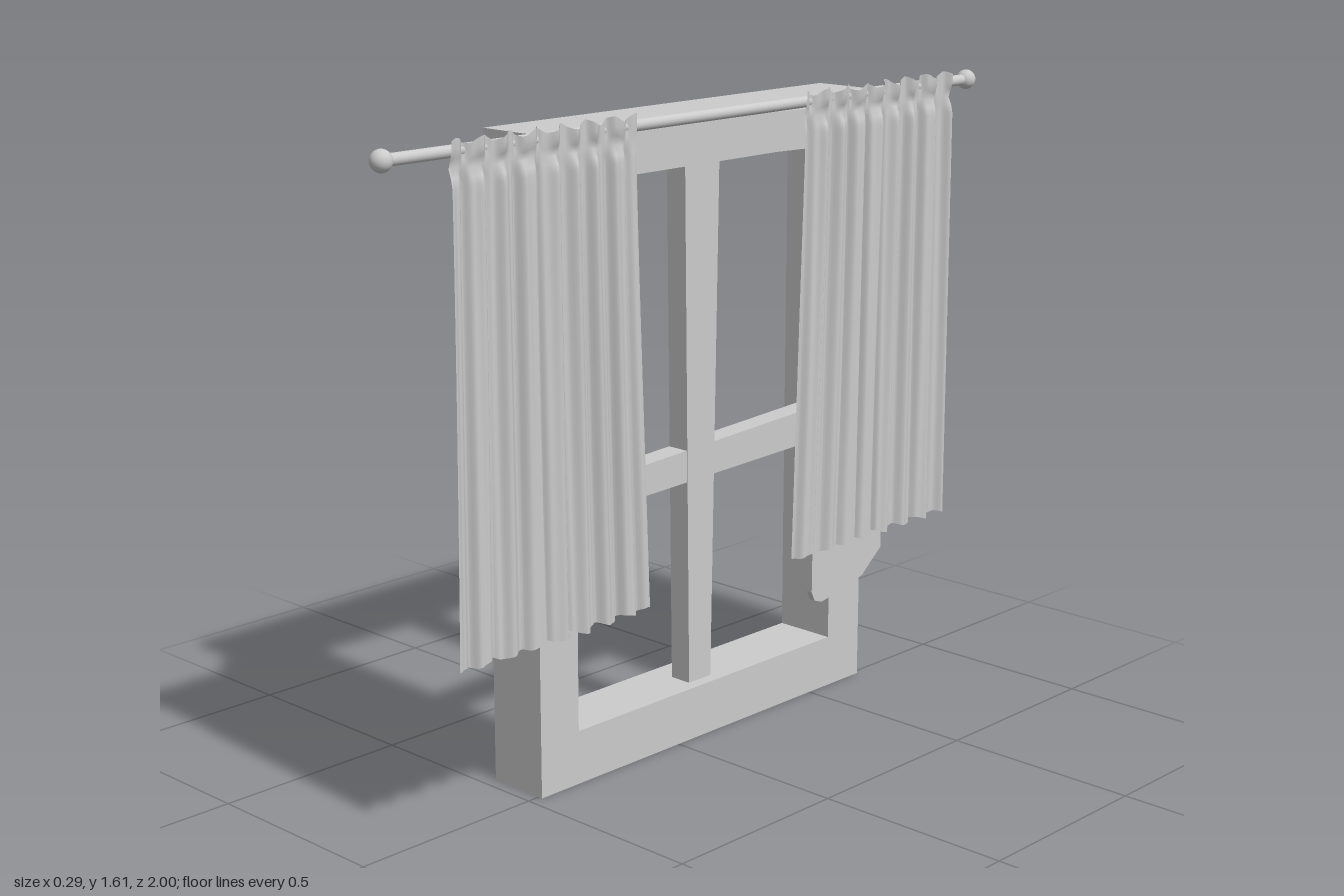
import * as THREE from 'three';
import { ParametricGeometry } from 'three/addons/geometries/ParametricGeometry.js';

const material = new THREE.MeshStandardMaterial({ color: 0xcccccc });
const cloth = new THREE.MeshStandardMaterial({ color: 0xcccccc, side: THREE.DoubleSide });

function add(group, name, geometry, mat = material) {
  const mesh = new THREE.Mesh(geometry, mat);
  mesh.name = name;
  group.add(mesh);
  return mesh;
}

const outline = (pts) => pts.map(([s, y]) => new THREE.Vector2(s, y));

// Flat outline in (s = -z, y), extruded from x0 to x1
function slab(pts, x0, x1, hole) {
  const shape = new THREE.Shape(outline(pts));
  if (hole) shape.holes.push(new THREE.Path(outline(hole)));
  return new THREE.ExtrudeGeometry(shape, { depth: x1 - x0, bevelEnabled: false })
    .rotateY(Math.PI / 2).translate(x0, 0, 0);
}

const rect = (s0, y0, s1, y1) => [[s0, y0], [s1, y0], [s1, y1], [s0, y1]];

// Pleated sheet: z runs from zA to zB (different at top and bottom), gathered at the rod
function curtainGeometry(top, bottom, phase) {
  const folds = 8;
  const yLow = 0.44, yHigh = 1.605, yCinch = 1.55;
  const point = (u, v, target) => {
    const a = u * folds * Math.PI * 2 + phase;
    const drift = 0.5 * Math.sin(u * 9 + phase) + 0.3 * Math.sin(v * 3 + u * 14);
    const wave = 0.75 * Math.sin(a + drift) + 0.25 * Math.sin(2.3 * a + 1);
    const edge = Math.max(0, 1 - v * 12) * 0.005 + Math.max(0, v * 12 - 11) * 0.008;
    const y = yLow + (yHigh - yLow) * v + edge * Math.sin(a * 0.9);
    const gather = Math.exp(-(((y - yCinch) / 0.022) ** 2));
    const amp = 0.015 * (1 - 0.7 * gather) * (v > 0.95 ? 0.75 : 1);
    const x = 0.125 + amp * wave - 0.004 * gather + (y > yCinch ? 0.003 : 0);
    const t = 1 - (1 - v) ** 1.3;
    const zA = THREE.MathUtils.lerp(bottom[0], top[0], t);
    const zB = THREE.MathUtils.lerp(bottom[1], top[1], t);
    target.set(x, y, THREE.MathUtils.lerp(zA, zB, u) + 0.004 * Math.cos(a) * Math.sin(u * Math.PI));
  };
  return new ParametricGeometry(point, 128, 60);
}

export function createModel() {
  const model = new THREE.Group();
  model.name = 'curtainedWindow';

  // Window frame with one large opening
  const frame = new THREE.Group();
  frame.name = 'window';
  model.add(frame);
  add(frame, 'windowFrame', slab(rect(-0.468, 0, 0.697, 1.575), -0.15, 0.012,
    rect(-0.345, 0.135, 0.573, 1.45)));

  // Slightly crooked glazing bars
  add(frame, 'verticalBar', slab([[0.072, 0.125], [0.15, 0.125], [0.175, 1.455], [0.055, 1.455]], -0.08, -0.02));
  add(frame, 'horizontalBar', slab([[-0.35, 0.648], [0.58, 0.676], [0.58, 0.767], [-0.35, 0.721]], -0.082, -0.022));

  // Tilted blind rail
  add(model, 'blindRail', slab([[-0.53, 1.485], [0.755, 1.45], [0.755, 1.548], [-0.53, 1.58]], 0.025, 0.07));

  // Torn strip hanging from the rail, thinner towards its ragged lower end
  const strip = slab([[0.45, 0.30], [0.462, 0.275], [0.49, 0.265], [0.55, 0.275], [0.61, 0.288], [0.655, 0.30],
    [0.69, 0.33], [0.728, 0.36], [0.735, 1.49], [0.45, 1.49]], -0.5, 0.5);
  const p = strip.attributes.position;
  for (let i = 0; i < p.count; i++) {
    const t = (p.getY(i) - 0.265) / 1.225;
    p.setX(i, 0.05 - 0.006 * t + p.getX(i) * (0.016 + 0.018 * t));
  }
  strip.computeVertexNormals();
  add(model, 'blindStrip', strip);

  // Curtain rod with ball ends
  const rod = new THREE.Group();
  rod.name = 'curtainRod';
  rod.position.set(0.107, 1.582, 0);
  model.add(rod);
  add(rod, 'rod', new THREE.CylinderGeometry(0.014, 0.014, 1.95, 16).rotateX(Math.PI / 2));
  for (const side of [-1, 1]) {
    add(rod, 'ballEnd', new THREE.SphereGeometry(0.025, 20, 14)).position.z = side * 0.975;
  }

  // Pair of curtains
  add(model, 'curtainLeft', curtainGeometry([0.81, 0.255], [0.82, 0.22], 0.4), cloth);
  add(model, 'curtainRight', curtainGeometry([-0.32, -0.88], [-0.285, -0.888], 2.1), cloth);

  return model;
}
